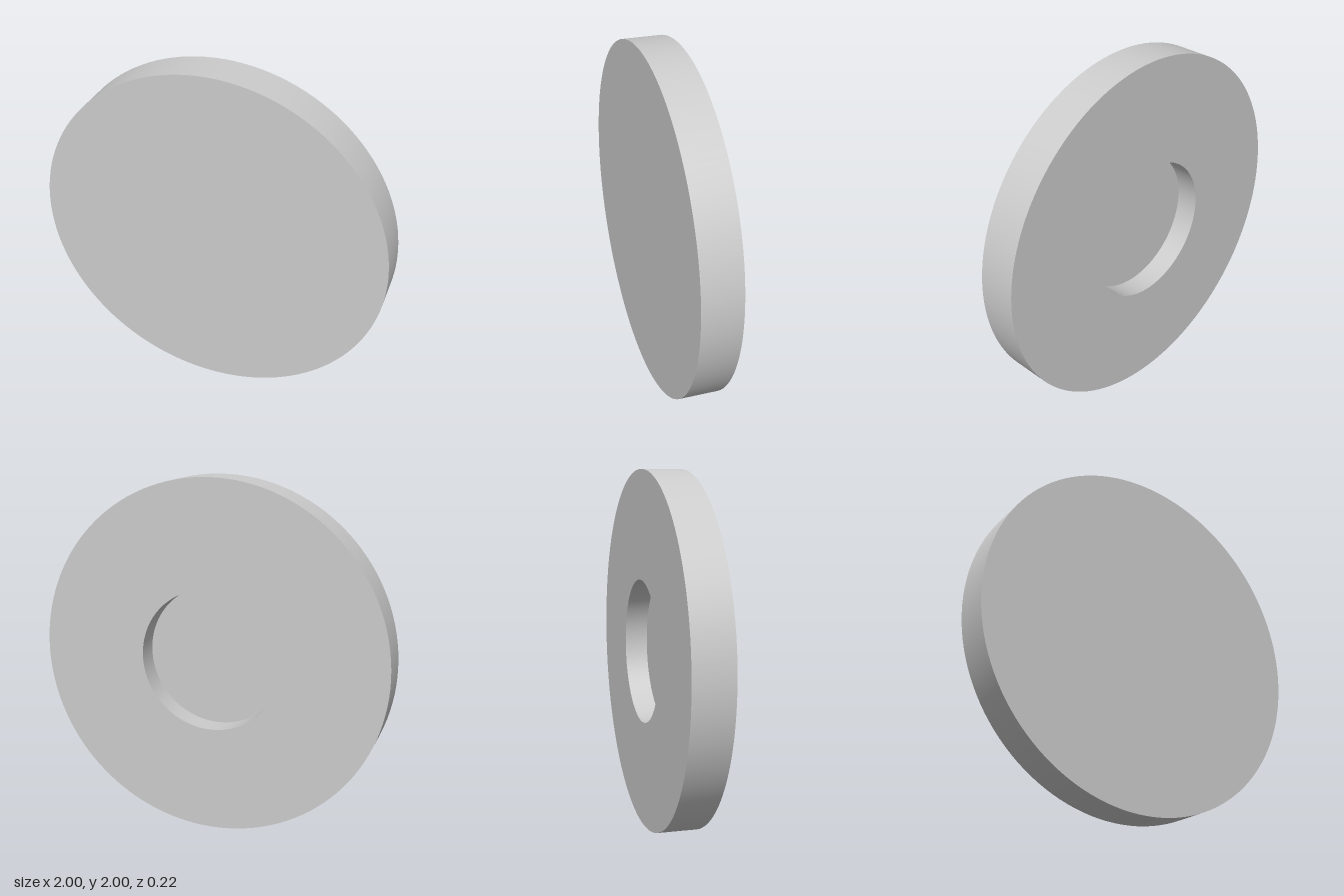
import * as THREE from 'three';
import { toCreasedNormals } from 'three/addons/utils/BufferGeometryUtils.js';

export function createModel() {
  const group = new THREE.Group();
  group.name = 'recessedDisc';

  const radius = 1, half = 0.11, recessRadius = 0.4, recessFloor = 0.02;

  // Half-section from the recess floor (back) round the rim to the plain front face
  const profile = [
    [0, recessFloor],
    [recessRadius, recessFloor],
    [recessRadius, -half],
    [radius, -half],
    [radius, half],
    [0, half],
  ].map(([r, h]) => new THREE.Vector2(r, h));

  // Turn about the axis, then tip the axis from y to z
  const geometry = new THREE.LatheGeometry(profile, 128);
  geometry.rotateX(Math.PI / 2);

  const disc = new THREE.Mesh(
    toCreasedNormals(geometry, Math.PI / 6),
    new THREE.MeshStandardMaterial({ color: 0xcccccc })
  );
  disc.name = 'disc';
  disc.position.y = radius;
  group.add(disc);

  return group;
}
